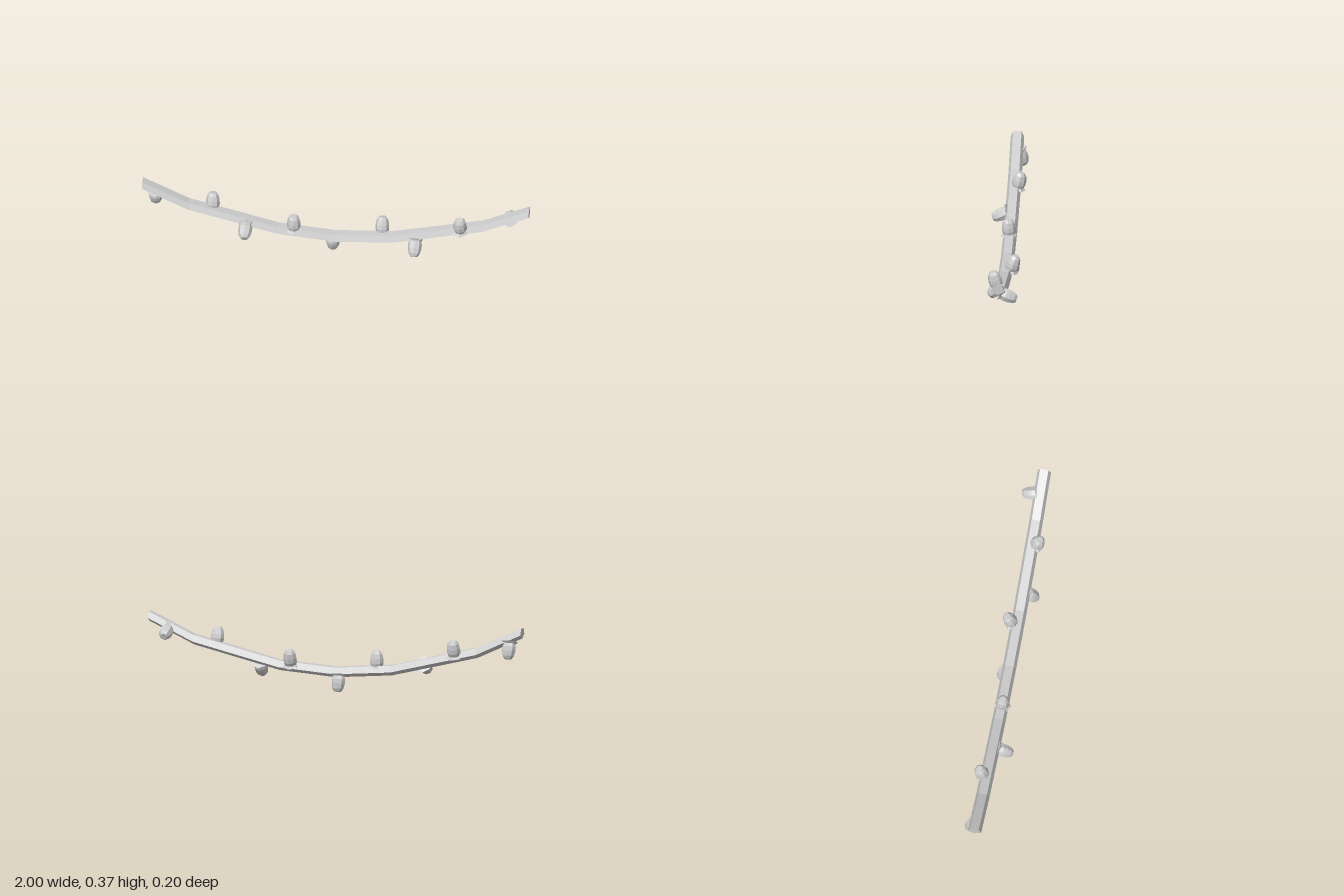
import * as THREE from 'three';

const material = new THREE.MeshStandardMaterial({ color: 0xcccccc, flatShading: true });

// Centre line of the sagging cable: [x, y]
const SAG = [[-1, 0.349], [-0.76, 0.237], [-0.3, 0.125], [0, 0.102], [0.3, 0.125], [0.76, 0.237], [1, 0.349]];

// Bulbs: x, base y, base z, then the y and z of the pointing direction
const BULBS = [
  [-0.935, 0.3, -0.015, -0.95, -0.3],
  [-0.64, 0.21, -0.022, 1, -0.25],
  [-0.463, 0.157, 0.015, -0.45, 0.9],
  [-0.218, 0.13, 0.0, 1, 0.03],
  [-0.02, 0.09, -0.018, -1, -0.25],
  [0.235, 0.127, -0.03, 1, -0.35],
  [0.412, 0.13, 0.007, -0.75, 0.65],
  [0.645, 0.213, 0.017, 1, 0.25],
  [0.897, 0.29, -0.013, -0.38, -0.92],
];

// Five-sided cable, point down, bent along the sag with vertical sections
function cableGeometry() {
  const spans = SAG.length - 1;
  const geo = new THREE.CylinderGeometry(0.037, 0.037, spans, 5, spans, false, Math.PI / 2);
  geo.rotateZ(-Math.PI / 2);
  const p = geo.attributes.position;
  for (let i = 0; i < p.count; i++) {
    const [x, y] = SAG[Math.round(p.getX(i) + spans / 2)];
    p.setXYZ(i, x, y + p.getY(i) * 0.79, p.getZ(i) - 0.004);
  }
  geo.computeVertexNormals();
  return geo;
}

export function createModel() {
  const model = new THREE.Group();
  model.name = 'stringLights';

  const cable = new THREE.Mesh(cableGeometry(), material);
  cable.name = 'cable';
  model.add(cable);

  // Faceted barrel-shaped bulb with a flat tip
  const profile = [[0, 0], [0.029, 0.002], [0.036, 0.026], [0.035, 0.048], [0.029, 0.074], [0.018, 0.089], [0, 0.089]];
  const bulbGeo = new THREE.LatheGeometry(profile.map(([r, y]) => new THREE.Vector2(r, y)), 8);
  // Flared socket collar where the bulb meets the cable
  const collarGeo = new THREE.CylinderGeometry(0.026, 0.044, 0.016, 6);
  collarGeo.translate(0, 0.006, 0);

  const up = new THREE.Vector3(0, 1, 0);
  BULBS.forEach(([x, y, z, dy, dz], i) => {
    const light = new THREE.Group();
    light.name = `light${i + 1}`;
    const bulb = new THREE.Mesh(bulbGeo, material);
    bulb.name = 'bulb';
    const collar = new THREE.Mesh(collarGeo, material);
    collar.name = 'collar';
    light.add(bulb, collar);
    light.position.set(x, y, z);
    light.quaternion.setFromUnitVectors(up, new THREE.Vector3(0, dy, dz).normalize());
    model.add(light);
  });

  return model;
}
